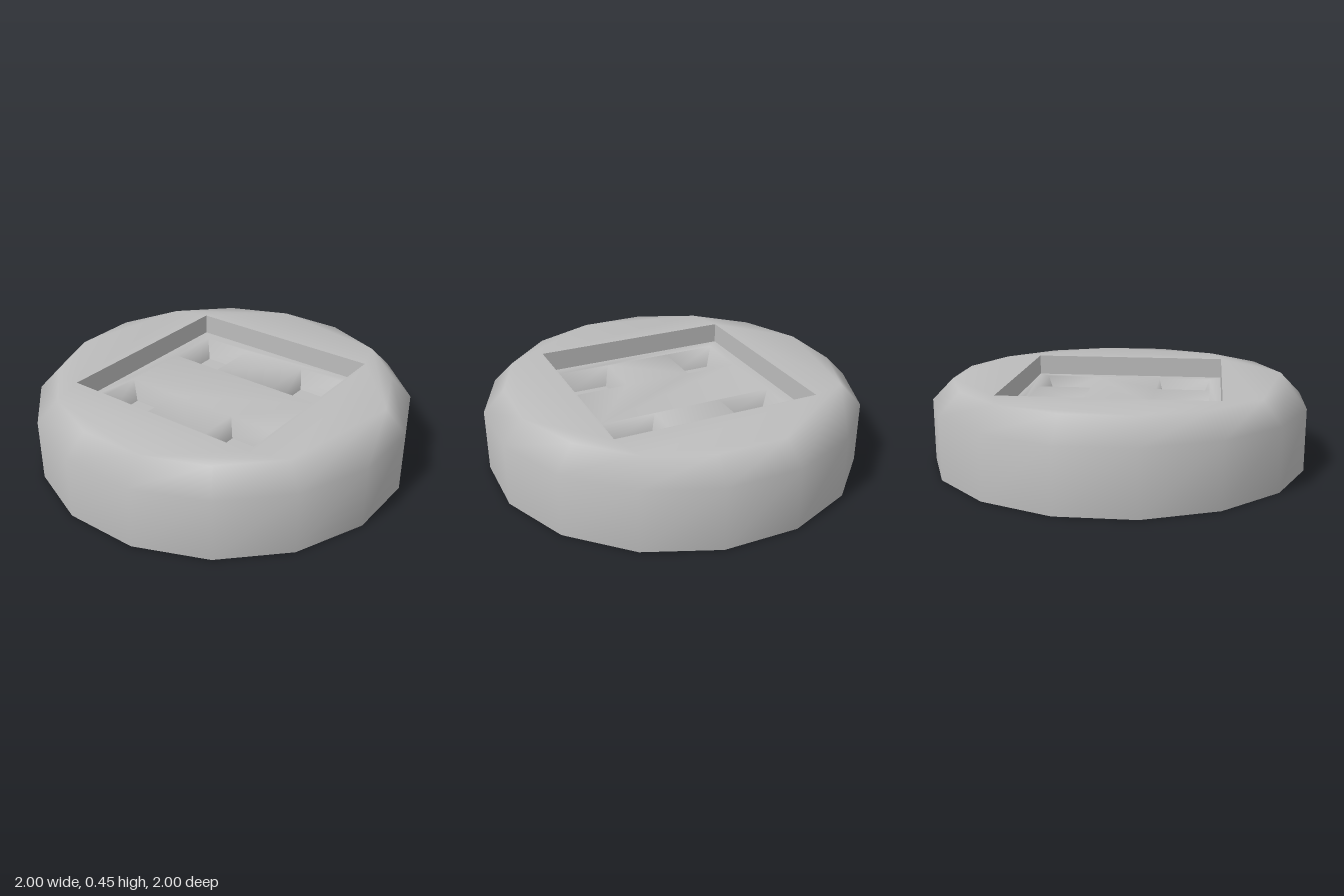
import * as THREE from 'three';

const SIDES = 16, APOTHEM = 1;
const TOP = 0.45, SHOULDER = 0.335, RECESS = 0.335, PIT = 0.225;

// Loops run counter-clockwise seen from above; Vector2.y is -z.
function ring(apothem) {
  const r = apothem / Math.cos(Math.PI / SIDES);
  return Array.from({ length: SIDES }, (_, i) => {
    const a = (i + 0.5) * 2 * Math.PI / SIDES;
    return new THREE.Vector2(r * Math.cos(a), r * Math.sin(a));
  });
}

function rect(x0, x1, y0, y1) {
  return [[x0, y0], [x1, y0], [x1, y1], [x0, y1]].map(([x, y]) => new THREE.Vector2(x, y));
}

// Square lying in one quadrant, between two distances from the axes
function quadrantSquare(sx, sy, inner, outer) {
  const span = s => (s > 0 ? [inner, outer] : [-outer, -inner]);
  return rect(...span(sx), ...span(sy));
}

// Collects shared vertices and faces for one smooth surface
class Surface {
  constructor() { this.points = []; this.index = []; }
  loop(points, y) {
    return points.map(p => this.points.push(p.x, y, -p.y) / 3 - 1);
  }
  quad(a, b, c, d) { this.index.push(a, b, c, a, c, d); }
  band(low, high) {
    low.forEach((_, i) => {
      const j = (i + 1) % low.length;
      this.quad(low[i], low[j], high[j], high[i]);
    });
  }
  cap(outline, ids, holes = [], holeIds = [], down = false) {
    const all = [...ids, ...holeIds.flatMap(h => [...h].reverse())];
    const faces = THREE.ShapeUtils.triangulateShape([...outline], holes.map(h => [...h].reverse()));
    for (const [a, b, c] of faces) {
      if (down) this.index.push(all[a], all[c], all[b]);
      else this.index.push(all[a], all[b], all[c]);
    }
  }
  mesh(name, material) {
    const g = new THREE.BufferGeometry();
    g.setAttribute('position', new THREE.Float32BufferAttribute(this.points, 3));
    g.setIndex(this.index);
    g.computeVertexNormals();
    const m = new THREE.Mesh(g, material);
    m.name = name;
    return m;
  }
}

export function createModel() {
  const group = new THREE.Group();
  group.name = 'roundBlock';
  const grey = new THREE.MeshStandardMaterial({ color: 0xbcbcbc });
  grey.name = 'grey';

  const outer = ring(APOTHEM), inner = ring(0.89);
  const square = rect(-0.56, 0.56, -0.56, 0.56);

  // Outer wall, chamfer and top, shaded as one smooth skin
  const shell = new Surface();
  const foot = shell.loop(outer, 0);
  const shoulder = shell.loop(outer, SHOULDER);
  const rim = shell.loop(inner, TOP);
  const opening = shell.loop(square, TOP);
  shell.band(foot, shoulder);
  shell.band(shoulder, rim);
  shell.cap(inner, rim, [square], [opening]);
  group.add(shell.mesh('shell', grey));

  // Flat underside
  const base = new Surface();
  base.cap(outer, base.loop(outer, 0), [], [], true);
  group.add(base.mesh('base', grey));

  // Upright walls of the square recess, with sharp corners
  const walls = new Surface();
  square.forEach((p, i) => {
    const edge = [p, square[(i + 1) % 4]];
    const low = walls.loop(edge, RECESS), high = walls.loop(edge, TOP);
    walls.quad(low[1], low[0], high[0], high[1]);
  });
  group.add(walls.mesh('recessWalls', grey));

  // Recess floor blending into the sloped walls of four pits
  const floor = new Surface(), pitFloors = new Surface();
  const floorEdge = floor.loop(square, RECESS);
  const mouths = [], mouthIds = [];
  for (const sx of [-1, 1]) for (const sy of [-1, 1]) {
    const mouth = quadrantSquare(sx, sy, 0.19, 0.495);
    const bottom = quadrantSquare(sx, sy, 0.222, 0.448);
    const ids = floor.loop(mouth, RECESS);
    mouths.push(mouth);
    mouthIds.push(ids);
    for (let i = 0; i < 4; i++) {
      const j = (i + 1) % 4;
      const low = floor.loop([bottom[i], bottom[j]], PIT);
      floor.quad(low[1], low[0], ids[i], ids[j]);
    }
    pitFloors.cap(bottom, pitFloors.loop(bottom, PIT));
  }
  floor.cap(square, floorEdge, mouths, mouthIds);
  group.add(floor.mesh('recessFloor', grey), pitFloors.mesh('pitFloors', grey));

  return group;
}
